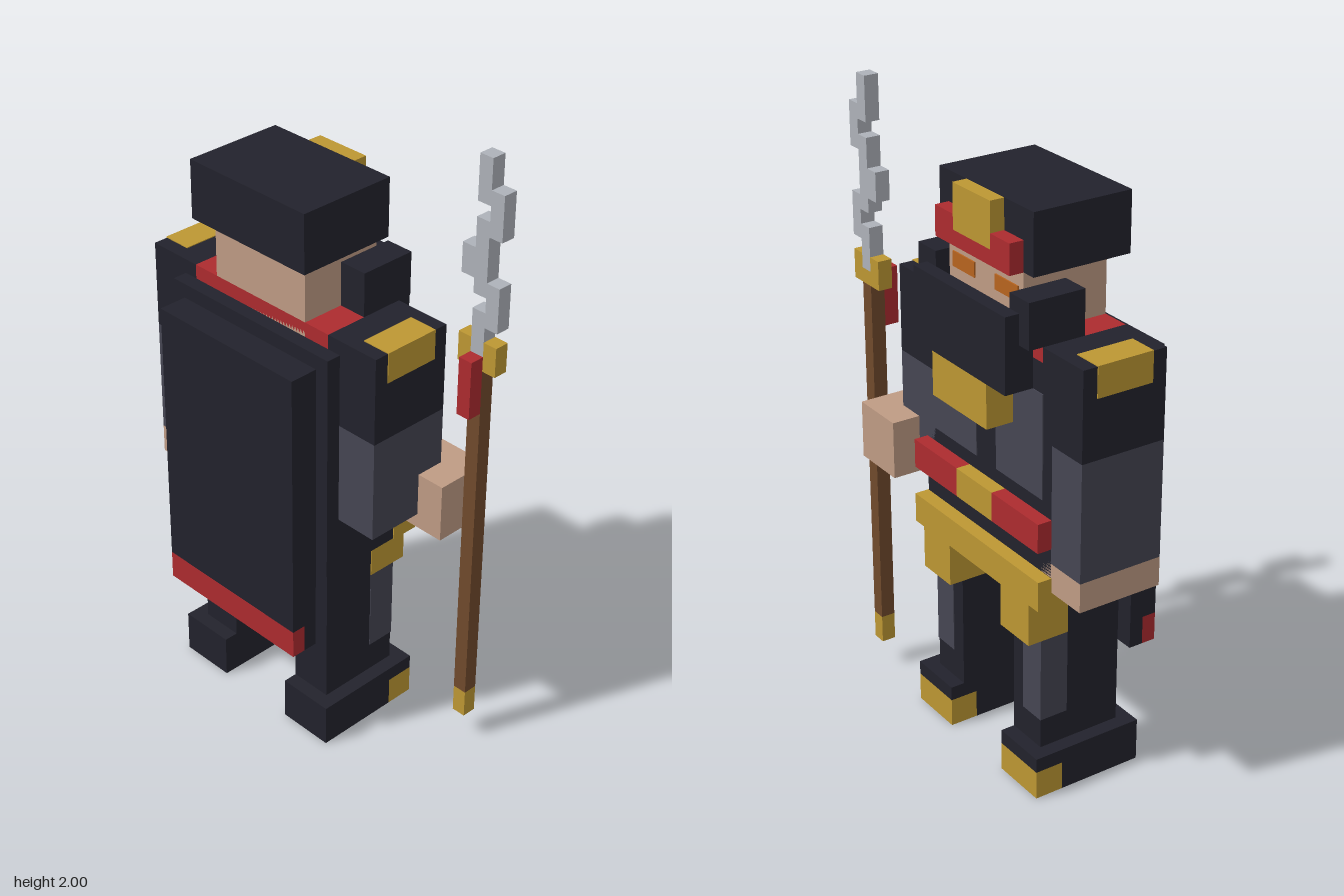
import * as THREE from 'three';

const U = 2 / 43; // one block
const MID = -2;   // the body's centre line in blocks

const material = (name, color) => {
  const m = new THREE.MeshStandardMaterial({ color });
  m.name = name;
  return m;
};

export function createModel() {
  const dark = material('dark cloth', 0x22222c);
  const grey = material('grey cloth', 0x454552);
  const gold = material('gold', 0xbd9733);
  const red = material('red cloth', 0xad2b2f);
  const skin = material('skin', 0xbf9b84);
  const wood = material('wood', 0x704a2c);
  const steel = material('steel', 0xaeb2b9);
  const orange = material('orange eyes', 0xb8641f);

  const model = new THREE.Group();
  model.name = 'staffBearer';

  // Box from its limits in blocks
  function box(name, mat, [x0, x1], [y0, y1], [z0, z1], parent = model) {
    const geo = new THREE.BoxGeometry((x1 - x0) * U, (y1 - y0) * U, (z1 - z0) * U);
    const mesh = new THREE.Mesh(geo, mat);
    mesh.position.set((x0 + x1) / 2 * U, (y0 + y1) / 2 * U, (z0 + z1) / 2 * U);
    mesh.name = name;
    parent.add(mesh);
  }

  // The same box on both sides of the body
  function pair(name, mat, [x0, x1], y, z) {
    box(name + 'Left', mat, [x0, x1], y, z);
    box(name + 'Right', mat, [2 * MID - x1, 2 * MID - x0], y, z);
  }

  // Head, hat and headband
  box('head', skin, [-6, 2], [30, 35], [-3.5, 2.5]);
  box('hat', dark, [-7, 3], [35, 39], [-3.5, 3.5]);
  pair('headband', red, [0, 2], [35, 37], [-4.5, -3.5]);
  box('headbandMiddle', red, [-4, 0], [35, 36], [-4.5, -3.5]);
  box('headbandPlate', gold, [-4, 0], [36, 39], [-4.5, -3.5]);
  pair('eye', orange, [-0.9, 1.5], [33, 34], [-3.6, -3.45]);

  // Collar and mask
  box('neckScarf', red, [-8, 4], [30, 31], [-3.5, 2.5]);
  pair('collar', dark, [2, 4], [31, 34], [-4.5, -0.5]);
  box('mask', dark, [-7, 3], [28, 33], [-5.5, -4.5]);
  box('maskBase', dark, [-7, 3], [28, 31], [-4.5, -3.5]);
  box('chestClasp', gold, [-5, 1], [25, 28], [-5.5, -3.5]);

  // Torso, chest panels, sash and belt
  box('torso', dark, [-9, 5], [14, 30], [-3.5, 3.5]);
  pair('chestPanel', grey, [-0.9, 4.1], [21, 28], [-3.57, -3.45]);
  pair('sash', red, [0, 5], [18, 20], [-4.5, -3.5]);
  box('sashBuckle', gold, [-4, 0], [18, 20], [-4.5, -3.5]);
  box('belt', gold, [-9.06, 5.06], [13.95, 16], [-4.5, -2.5]);
  pair('beltTab', gold, [0.94, 4.06], [11, 14], [-4.5, -1.5]);

  // Cape with a red hem
  box('cape', dark, [-8, 4], [10, 29], [3.5, 5.5]);
  box('capeLowerLining', dark, [-8, 4], [8, 10], [3.5, 4.5]);
  box('capeHem', red, [-8, 4], [8, 10], [4.5, 5.5]);

  // Legs and feet
  pair('leg', dark, [1, 4], [3, 14], [-3.5, 2.5]);
  pair('legPatch', grey, [2.1, 4.05], [5.1, 11], [-3.55, -1.5]);
  pair('footHeel', dark, [1, 5], [0, 3], [-2.5, 3.5]);
  pair('footTop', dark, [1, 5], [2, 3], [-4.5, -2.5]);
  pair('toeCap', gold, [1, 5], [0, 2], [-4.5, -2.5]);

  // Arms
  pair('upperArm', dark, [4, 8], [25, 31], [-3.5, 2.5]);
  pair('shoulderPlate', gold, [6, 8.06], [29, 31.06], [-2.5, 1.5]);
  box('sleeveLeft', grey, [4, 8], [18, 25], [-3.5, 2.5]);
  box('handLeft', skin, [6, 10], [17, 21], [-5.5, -1.5]);
  box('sleeveRight', grey, [-12, -8], [17, 25], [-3.5, 2.5]);
  box('handRight', skin, [-12, -8], [15, 17], [-3.5, 2.5]);

  // Staff with a stepped blade
  const staff = new THREE.Group();
  staff.name = 'staff';
  model.add(staff);
  const depth = [-4.5, -3.5];
  box('staffFoot', gold, [10, 11], [2, 4], depth, staff);
  box('staffShaft', wood, [10, 11], [4, 29], depth, staff);
  box('staffTassel', red, [10, 11], [26, 30], [-3.5, -2.5], staff);
  box('guardMiddle', gold, [10, 11], [29, 30], depth, staff);
  for (const x of [9, 11]) box('guardEnd', gold, [x, x + 1], [29, 31], depth, staff);
  const blade = [[10, 30, 33], [11, 32, 35], [10, 34, 39], [9, 35, 37], [11, 38, 41], [10, 40, 43]];
  for (const [x, y0, y1] of blade) box('blade', steel, [x, x + 1], [y0, y1], depth, staff);

  return model;
}
